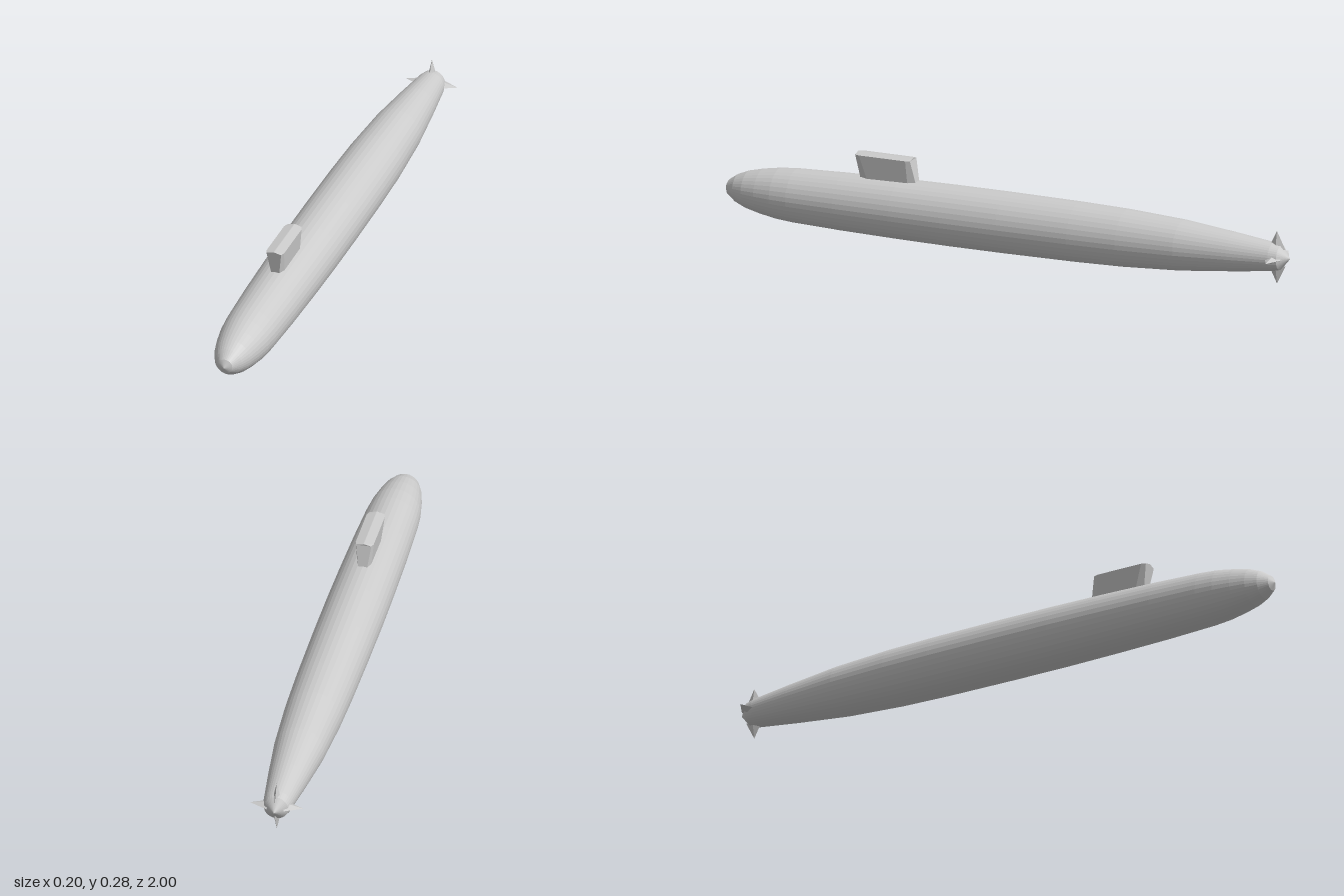
import * as THREE from 'three';

const AXIS_Y = 0.1; // height of the hull's centre line

// Joins equal-length rings (counter-clockwise seen from above) and caps both ends
function loft(rings) {
  const n = rings[0].length, index = [];
  const pos = rings.flat(2);
  for (let r = 0; r < rings.length - 1; r++) {
    for (let i = 0; i < n; i++) {
      const a = r * n + i, b = r * n + (i + 1) % n;
      index.push(a, b, b + n, a, b + n, a + n);
    }
  }
  const top = (rings.length - 1) * n;
  for (let i = 1; i < n - 1; i++) {
    index.push(0, i + 1, i, top, top + i, top + i + 1);
  }
  const g = new THREE.BufferGeometry();
  g.setAttribute('position', new THREE.Float32BufferAttribute(pos, 3));
  g.setIndex(index);
  g.computeVertexNormals();
  return g;
}

export function createModel() {
  const model = new THREE.Group();
  const grey = new THREE.MeshStandardMaterial({ color: 0xcccccc, flatShading: true });
  const add = (name, geometry, parent = model) => {
    const mesh = new THREE.Mesh(geometry, grey);
    mesh.name = name;
    parent.add(mesh);
    return mesh;
  };

  // Hull: [radius, z] from the tail tip to the nose
  const profile = [
    [0, -1], [0.04, -0.967], [0.047, -0.94], [0.064, -0.8], [0.083, -0.62],
    [0.094, -0.42], [0.098, -0.25], [0.1, 0], [0.1, 0.2], [0.098, 0.38],
    [0.094, 0.58], [0.088, 0.75], [0.083, 0.81], [0.073, 0.87],
    [0.061, 0.92], [0.046, 0.957], [0.025, 0.987], [0, 1],
  ].map(([r, z]) => new THREE.Vector2(r, z));
  const hull = new THREE.LatheGeometry(profile, 36);
  hull.rotateX(Math.PI / 2);
  hull.translate(0, AXIS_Y, 0);
  add('hull', hull);

  // Sail: eight-sided sections, wider at the top, with sloping ends
  const section = (y, tip, half, front, rear, chamfer) => [
    [tip, y, front], [half, y, front - chamfer], [half, y, rear + chamfer], [tip, y, rear],
    [-tip, y, rear], [-half, y, rear + chamfer], [-half, y, front - chamfer], [-tip, y, front],
  ];
  const ridge = section(0.276, 0.001, 0.001, 0.531, 0.335, 0.002);
  add('sail', loft([
    section(0.165, 0.01, 0.02, 0.512, 0.315, 0.03),
    section(0.27, 0.025, 0.03, 0.53, 0.336, 0.015),
    ridge,
  ]));

  // Four pointed tail fins in a cross
  const tail = new THREE.Group();
  tail.name = 'tailFins';
  tail.position.set(0, AXIS_Y, -0.953);
  const finShape = new THREE.ConeGeometry(1, 0.06, 4);
  finShape.scale(0.013, 1, 0.03);
  finShape.translate(0, 0.058, 0);
  for (let i = 0; i < 4; i++) {
    add('tailFin', finShape, tail).rotation.z = i * Math.PI / 2;
  }
  model.add(tail);

  return model;
}
